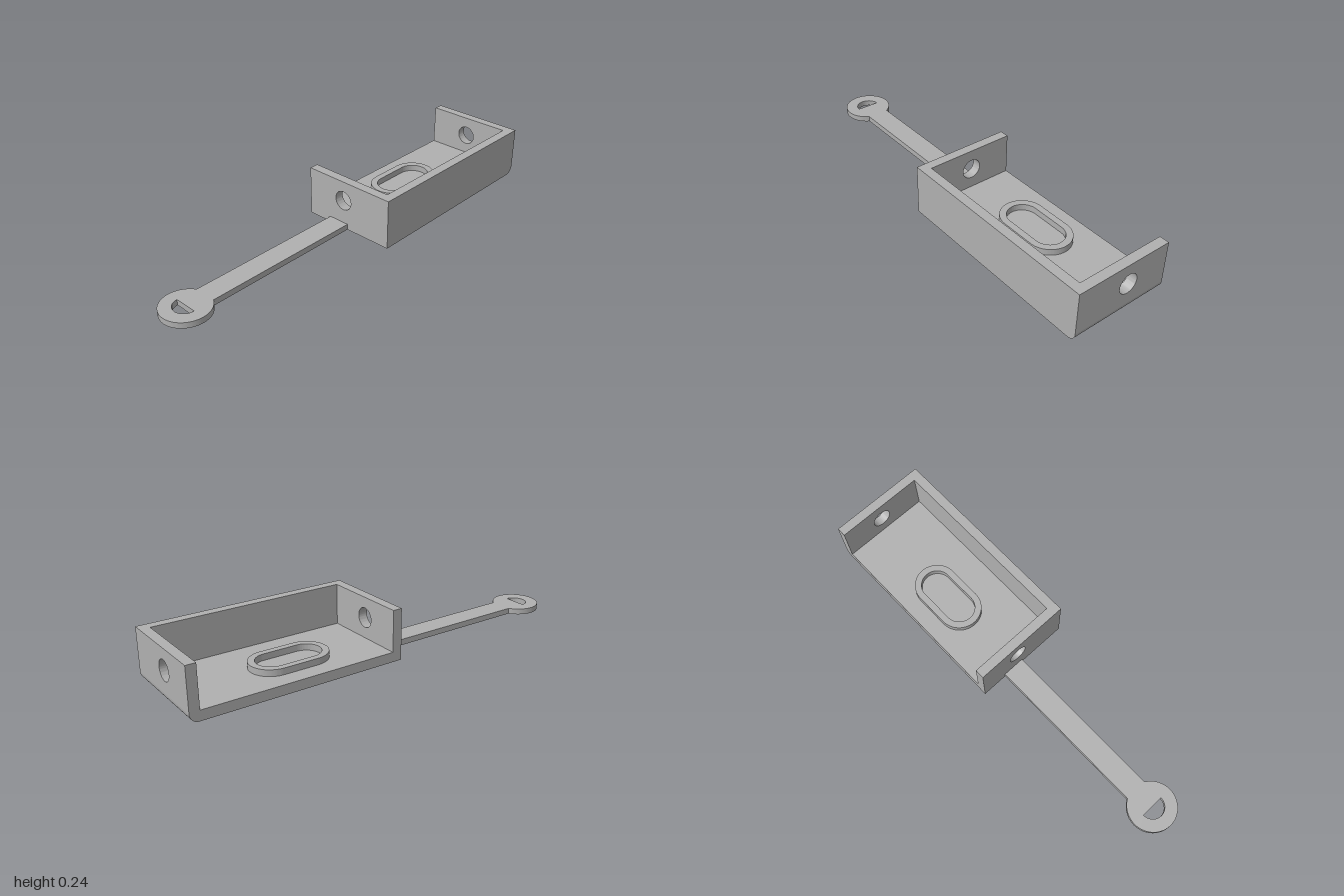
import * as THREE from 'three';
import { toCreasedNormals } from 'three/addons/utils/BufferGeometryUtils.js';

const HALF = 0.237, HEIGHT = 0.24, FLOOR = 0.046, WALL = 0.045;

export function createModel() {
  const group = new THREE.Group();
  const grey = new THREE.MeshStandardMaterial({ color: 0xb0b0b0 });
  grey.name = 'grey';

  const add = (name, geometry) => {
    const mesh = new THREE.Mesh(geometry, grey);
    mesh.name = name;
    group.add(mesh);
    return mesh;
  };
  const extrude = (shape, depth) =>
    new THREE.ExtrudeGeometry(shape, { depth, bevelEnabled: false, curveSegments: 32 });
  // Plan shape (x, z) extruded down from the height "top"
  const plan = (shape, depth, top) =>
    toCreasedNormals(extrude(shape, depth).rotateX(Math.PI / 2).translate(0, top, 0), 0.5);

  // Floor slab: side profile (z, y) with a rounded lower back edge
  const r = 0.04;
  const profile = new THREE.Shape();
  profile.moveTo(0, 0);
  profile.lineTo(0, FLOOR);
  profile.lineTo(-1, FLOOR);
  profile.lineTo(-1, r);
  profile.absarc(-1 + r, r, r, Math.PI, Math.PI * 1.5, false);
  const floor = extrude(profile, HALF * 2).rotateY(-Math.PI / 2).translate(HALF, 0, 0);
  add('floor', toCreasedNormals(floor, 0.5));

  // End walls with a round hole each
  const wall = new THREE.Shape();
  wall.moveTo(-HALF, FLOOR);
  wall.lineTo(HALF, FLOOR);
  wall.lineTo(HALF, HEIGHT);
  wall.lineTo(-HALF, HEIGHT);
  wall.holes.push(new THREE.Path().absarc(-0.029, 0.143, 0.0465, 0, Math.PI * 2, true));
  for (const [name, z] of [['frontWall', -WALL], ['backWall', -1]]) {
    add(name, toCreasedNormals(extrude(wall, WALL), 0.5)).position.z = z;
  }

  // Single long wall; the opposite side stays open
  const side = new THREE.BoxGeometry(WALL, HEIGHT - FLOOR, 1 - 2 * WALL);
  add('sideWall', side).position.set(HALF - WALL / 2, (HEIGHT + FLOOR) / 2, -0.5);

  // Raised oval rim on the floor
  const oval = (path, radius) => {
    const x = -0.052, near = -0.377, far = -0.54;
    path.absarc(x, near, radius, 0, Math.PI, false);
    path.absarc(x, far, radius, Math.PI, Math.PI * 2, false);
    path.closePath();
    return path;
  };
  const rim = oval(new THREE.Shape(), 0.103);
  rim.holes.push(oval(new THREE.Path(), 0.072));
  add('ovalRim', plan(rim, 0.03, FLOOR + 0.03));

  // Strap ending in a round eyelet with a half-round hole
  const cx = -0.057, cz = 0.888, w = 0.054, R = 0.112;
  const start = -Math.acos(w / R);
  const strap = new THREE.Shape();
  strap.moveTo(cx - w, 0);
  strap.lineTo(cx + w, 0);
  strap.absarc(cx, cz, R, start, Math.PI - start, false);
  strap.closePath();
  const slot = new THREE.Path().absarc(cx, cz, 0.055, 0, Math.PI, false);
  slot.closePath();
  strap.holes.push(slot);
  add('strap', plan(strap, 0.028, 0.028));

  return group;
}
